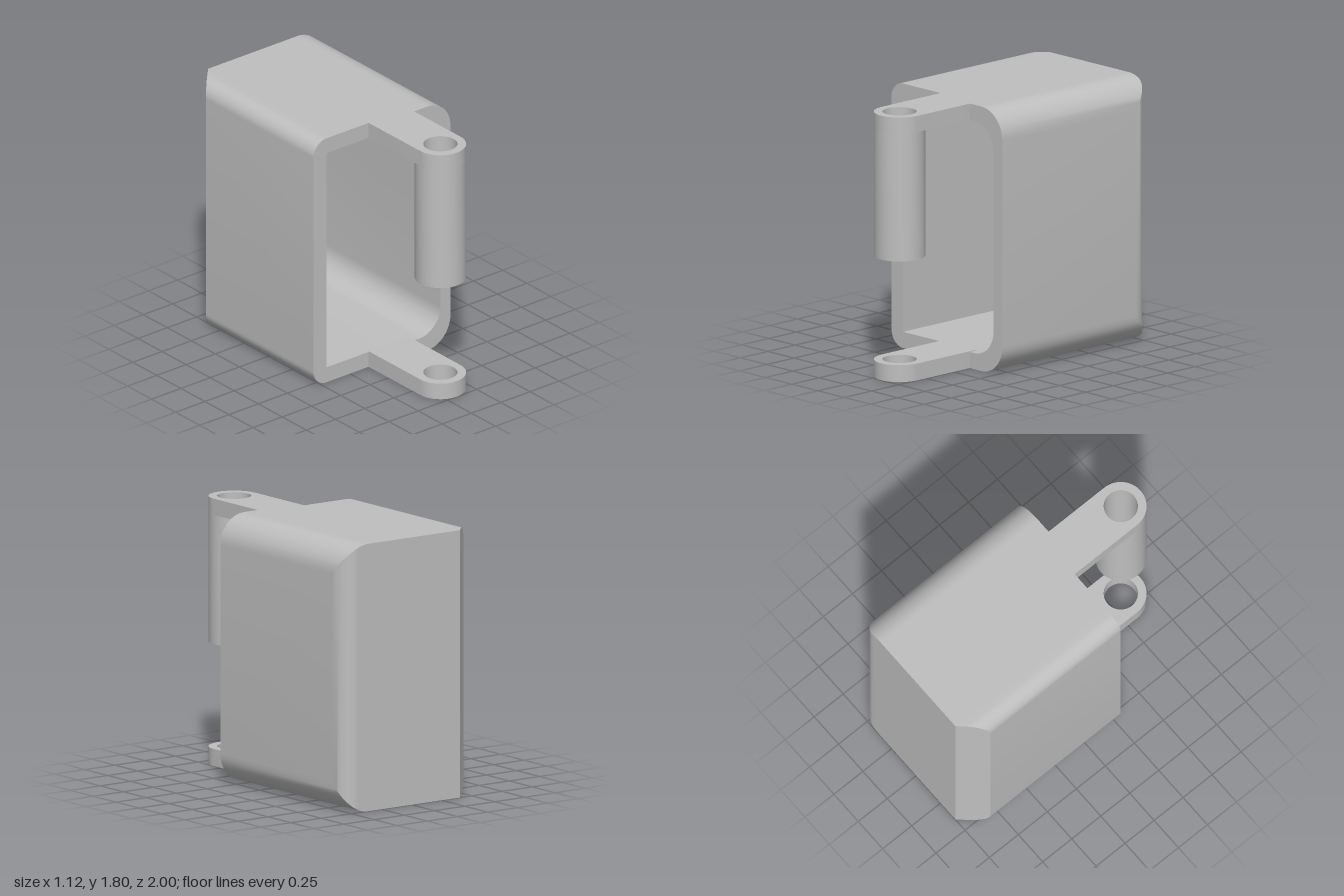
import * as THREE from 'three';
import { toCreasedNormals } from 'three/addons/utils/BufferGeometryUtils.js';

const MID = 0.9, STEP = -0.09, CAVITY_Z = -0.87;
const OUT = { left: -0.56, right: 0.56, half: 0.9, rl: 0.11, rr: 0.2 };
const CAV = { left: -0.45, right: 0.475, half: 0.79, rl: 0, rr: 0.18 };

// half height of a rounded outline at x
function halfHeight(p, x) {
  const dl = p.left + p.rl - x, dr = x - (p.right - p.rr);
  if (dl > 0) return p.half - p.rl + Math.sqrt(Math.max(0, p.rl ** 2 - dl ** 2));
  if (dr > 0) return p.half - p.rr + Math.sqrt(Math.max(0, p.rr ** 2 - dr ** 2));
  return p.half;
}

// back surface: chamfer at -x, fillet at +x
function backZ(x) {
  if (x < -0.4) return -1 + (-0.4 - x) * (0.17 / 0.16);
  if (x > 0.44) return -0.87 - 0.13 * Math.sqrt(Math.max(0, 1 - ((x - 0.44) / 0.12) ** 2));
  return -1;
}

const frontZ = x => (x < STEP ? 0.29 : 0.35);

// x stations where the outlines bend
function stations() {
  const xs = [-0.4, STEP, 0.44];
  const n = 12;
  for (const p of [OUT, CAV]) {
    for (let i = 0; i <= n; i++) {
      const s = Math.sin((i / n) * Math.PI / 2);
      xs.push(p.left + p.rl - p.rl * s, p.right - p.rr + p.rr * s);
    }
  }
  xs.sort((a, b) => a - b);
  return xs.filter((x, i) => i === 0 || x - xs[i - 1] > 1e-6);
}

// hollow shell, built column by column along x
function shellGeometry() {
  const pos = [];
  const quad = (a, b, c, d, flip = false) => {
    const q = flip ? [a, d, c, b] : [a, b, c, d];
    for (const k of [0, 1, 2, 0, 2, 3]) pos.push(q[k][0], q[k][1] + MID, q[k][2]);
  };
  const xs = stations();
  for (let i = 0; i + 1 < xs.length; i++) {
    const x0 = xs[i], x1 = xs[i + 1], mid = (x0 + x1) / 2;
    const zf = frontZ(mid), b0 = backZ(x0), b1 = backZ(x1);
    const o0 = halfHeight(OUT, x0), o1 = halfHeight(OUT, x1);
    const open = mid > CAV.left && mid < CAV.right;
    const c0 = open ? halfHeight(CAV, x0) : 0, c1 = open ? halfHeight(CAV, x1) : 0;
    // back
    quad([x1, -o1, b1], [x0, -o0, b0], [x0, o0, b0], [x1, o1, b1]);
    if (open) quad([x0, -c0, CAVITY_Z], [x1, -c1, CAVITY_Z], [x1, c1, CAVITY_Z], [x0, c0, CAVITY_Z]);
    for (const s of [1, -1]) {
      const f = s < 0;
      // outer wall, rim, inner wall
      quad([x0, s * o0, zf], [x1, s * o1, zf], [x1, s * o1, b1], [x0, s * o0, b0], f);
      quad([x0, s * c0, zf], [x1, s * c1, zf], [x1, s * o1, zf], [x0, s * o0, zf], f);
      if (open) quad([x0, s * c0, zf], [x1, s * c1, zf], [x1, s * c1, CAVITY_Z], [x0, s * c0, CAVITY_Z], !f);
    }
  }
  // upright side walls
  const side = (x, h, zb, flip) => {
    const zf = frontZ(x);
    quad([x, -h, zf], [x, -h, zb], [x, h, zb], [x, h, zf], flip);
  };
  side(OUT.right, OUT.half - OUT.rr, backZ(OUT.right), false);
  side(OUT.left, OUT.half - OUT.rl, backZ(OUT.left), true);
  side(CAV.right, CAV.half - CAV.rr, CAVITY_Z, true);
  side(CAV.left, CAV.half, CAVITY_Z, false);
  const g = new THREE.BufferGeometry();
  g.setAttribute('position', new THREE.Float32BufferAttribute(pos, 3));
  return toCreasedNormals(g, 0.5);
}

// plan shape with the pin hole, raised from y0 to y1
const PIN_X = 0.08, PIN_Z = 0.83, PIN_R = 0.17, HOLE_R = 0.113;
function raised(shape, y0, y1) {
  shape.holes.push(new THREE.Path().absarc(PIN_X, -PIN_Z, HOLE_R, 0, Math.PI * 2, true));
  const g = new THREE.ExtrudeGeometry(shape, { depth: y1 - y0, bevelEnabled: false, curveSegments: 20 });
  g.rotateX(-Math.PI / 2).translate(0, y0, 0);
  return toCreasedNormals(g, 0.5);
}

function tabShape() {
  const s = new THREE.Shape();
  s.moveTo(PIN_X + PIN_R, -0.29);
  s.lineTo(PIN_X - PIN_R, -0.29);
  s.lineTo(PIN_X - PIN_R, -PIN_Z);
  s.absarc(PIN_X, -PIN_Z, PIN_R, Math.PI, Math.PI * 2, false);
  return s;
}

export function createModel() {
  const group = new THREE.Group();
  const grey = new THREE.MeshStandardMaterial({ color: 0xbfbfbf });
  grey.name = 'grey';
  const add = (name, geometry) => {
    const mesh = new THREE.Mesh(geometry, grey);
    mesh.name = name;
    group.add(mesh);
  };
  add('shell', shellGeometry());
  add('bottomTab', raised(tabShape(), 0, 0.115));
  add('topTab', raised(tabShape(), 1.69, 1.8));
  const ring = new THREE.Shape().absarc(PIN_X, -PIN_Z, PIN_R, 0, Math.PI * 2, false);
  add('hingeTube', raised(ring, 0.82, 1.69));
  return group;
}
